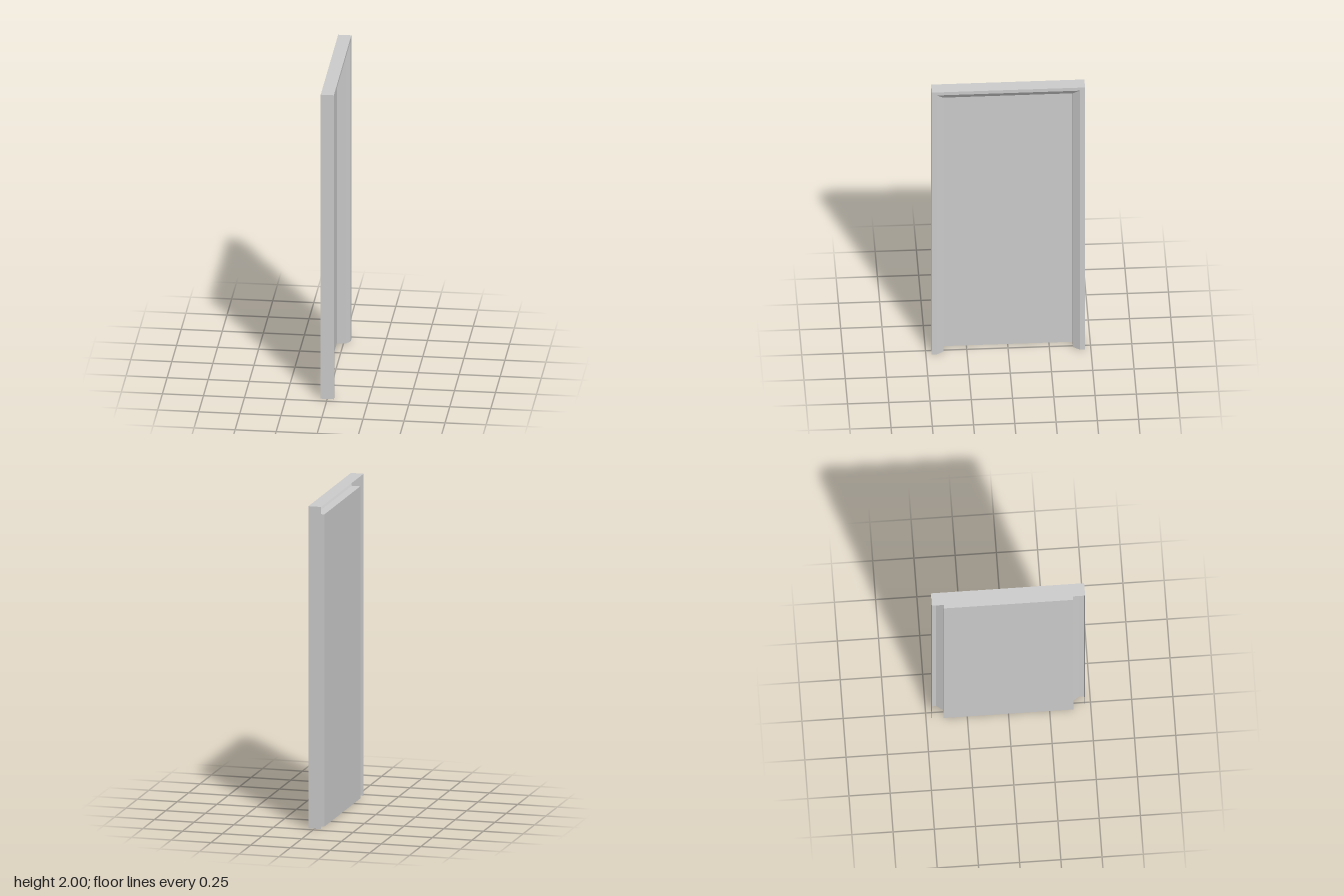
import * as THREE from 'three';

const material = new THREE.MeshStandardMaterial({ color: 0xcccccc, flatShading: true, side: THREE.DoubleSide });

// Sheet-metal profile of the frame, from its open back edge round to the panel:
// x = depth, w = half width, h = height of the portal-shaped outline
const outerBack = { x: -0.04, w: 0.465, h: 2 };
const outerFront = { x: 0.04, w: 0.465, h: 2 };
const rimInner = { x: 0.04, w: 0.433, h: 1.977 };
const splayInner = { x: 0.013, w: 0.393, h: 1.938 };
const panelEdge = { x: -0.04, w: 0.393, h: 1.938 };

// Four corners of a portal outline, open at the floor
const outline = ({ x, w, h }) => [[x, 0, -w], [x, h, -w], [x, h, w], [x, 0, w]];

// Folded band joining two outlines, with mitred top corners
function band(name, from, to) {
  const a = outline(from), b = outline(to), points = [];
  for (let i = 0; i < 3; i++) {
    points.push(a[i], a[i + 1], b[i + 1], a[i], b[i + 1], b[i]);
  }
  const geometry = new THREE.BufferGeometry();
  geometry.setAttribute('position', new THREE.Float32BufferAttribute(points.flat(), 3));
  geometry.computeVertexNormals();
  const mesh = new THREE.Mesh(geometry, material);
  mesh.name = name;
  return mesh;
}

export function createModel() {
  const model = new THREE.Group();
  model.name = 'doorWithFrame';

  // Frame: outer casing, flat rim, splayed moulding and inner reveal
  const frame = new THREE.Group();
  frame.name = 'frame';
  frame.add(
    band('outerCasing', outerBack, outerFront),
    band('frontRim', outerFront, rimInner),
    band('splayedMoulding', rimInner, splayInner),
    band('innerReveal', splayInner, panelEdge)
  );

  // Door leaf closing the back of the reveal
  const { x, w, h } = panelEdge;
  const panel = new THREE.Mesh(new THREE.PlaneGeometry(2 * w, h), material);
  panel.name = 'doorPanel';
  panel.rotation.y = Math.PI / 2;
  panel.position.set(x, h / 2, 0);

  model.add(frame, panel);
  return model;
}
